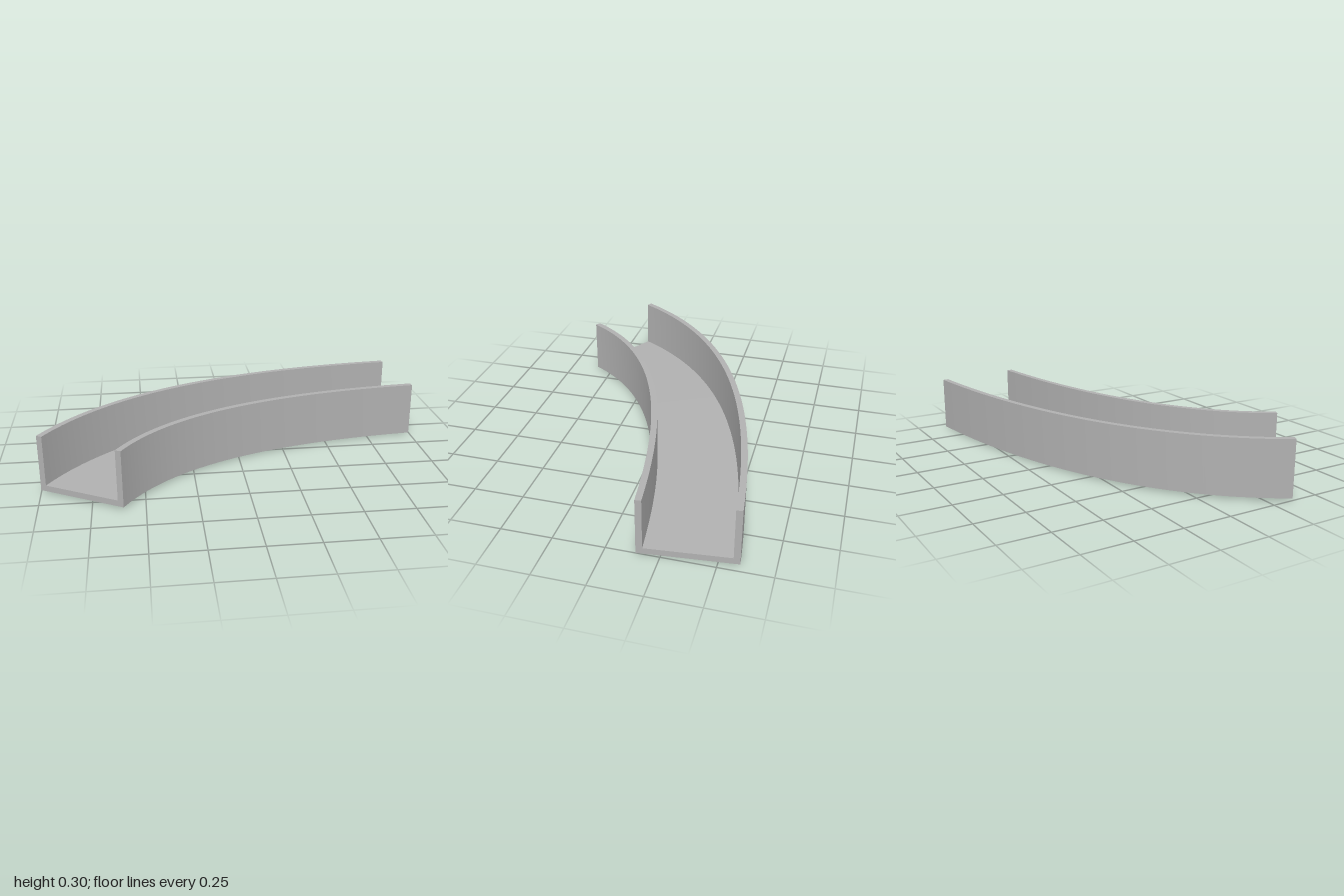
import * as THREE from 'three';

const SEGMENTS = 48;
const HALF = 0.229, HEIGHT = 0.285, WALL = 0.03, DROP = 0.011;

// Centre line of the channel: x and z in plan
const path = new THREE.QuadraticBezierCurve(
  new THREE.Vector2(-0.802, 0.475),
  new THREE.Vector2(-0.39, -0.233),
  new THREE.Vector2(0.977, -0.367),
);

// U-shaped section, counter-clockwise: u points to the outside of the bend, v up
const inner = HALF - WALL;
const section = [
  [-HALF, 0], [HALF, 0], [HALF, HEIGHT], [inner, HEIGHT],
  [inner, WALL], [-inner, WALL], [-inner, HEIGHT], [-HALF, HEIGHT],
].map(([u, v]) => new THREE.Vector2(u, v));

// Place a section point at t along the path, sinking gently towards the far end
function place(p, t) {
  const c = path.getPoint(t), d = path.getTangent(t);
  return [c.x + d.y * p.x, p.y + DROP * (1 - t ** 3), c.y - d.x * p.x];
}

function sweepGeometry() {
  const positions = [], indices = [];

  // One strip per section edge: smooth along the bend, sharp across it
  section.forEach((p, j) => {
    const q = section[(j + 1) % section.length];
    const base = positions.length / 3;
    for (let i = 0; i <= SEGMENTS; i++) {
      positions.push(...place(p, i / SEGMENTS), ...place(q, i / SEGMENTS));
      if (i === SEGMENTS) continue;
      const a = base + i * 2;
      indices.push(a, a + 1, a + 3, a, a + 3, a + 2);
    }
  });

  // Flat caps on both ends
  const faces = THREE.ShapeUtils.triangulateShape(section, []);
  for (const t of [0, 1]) {
    const base = positions.length / 3;
    section.forEach((p) => positions.push(...place(p, t)));
    for (const [a, b, c] of faces) {
      indices.push(base + a, base + (t ? b : c), base + (t ? c : b));
    }
  }

  const geometry = new THREE.BufferGeometry();
  geometry.setAttribute('position', new THREE.Float32BufferAttribute(positions, 3));
  geometry.setIndex(indices);
  geometry.computeVertexNormals();
  return geometry;
}

export function createModel() {
  const grey = new THREE.MeshStandardMaterial({ color: 0xb0b0b0 });
  grey.name = 'grey';

  const channel = new THREE.Mesh(sweepGeometry(), grey);
  channel.name = 'curvedChannel';

  const model = new THREE.Group();
  model.name = 'channelBend';
  model.add(channel);
  return model;
}
